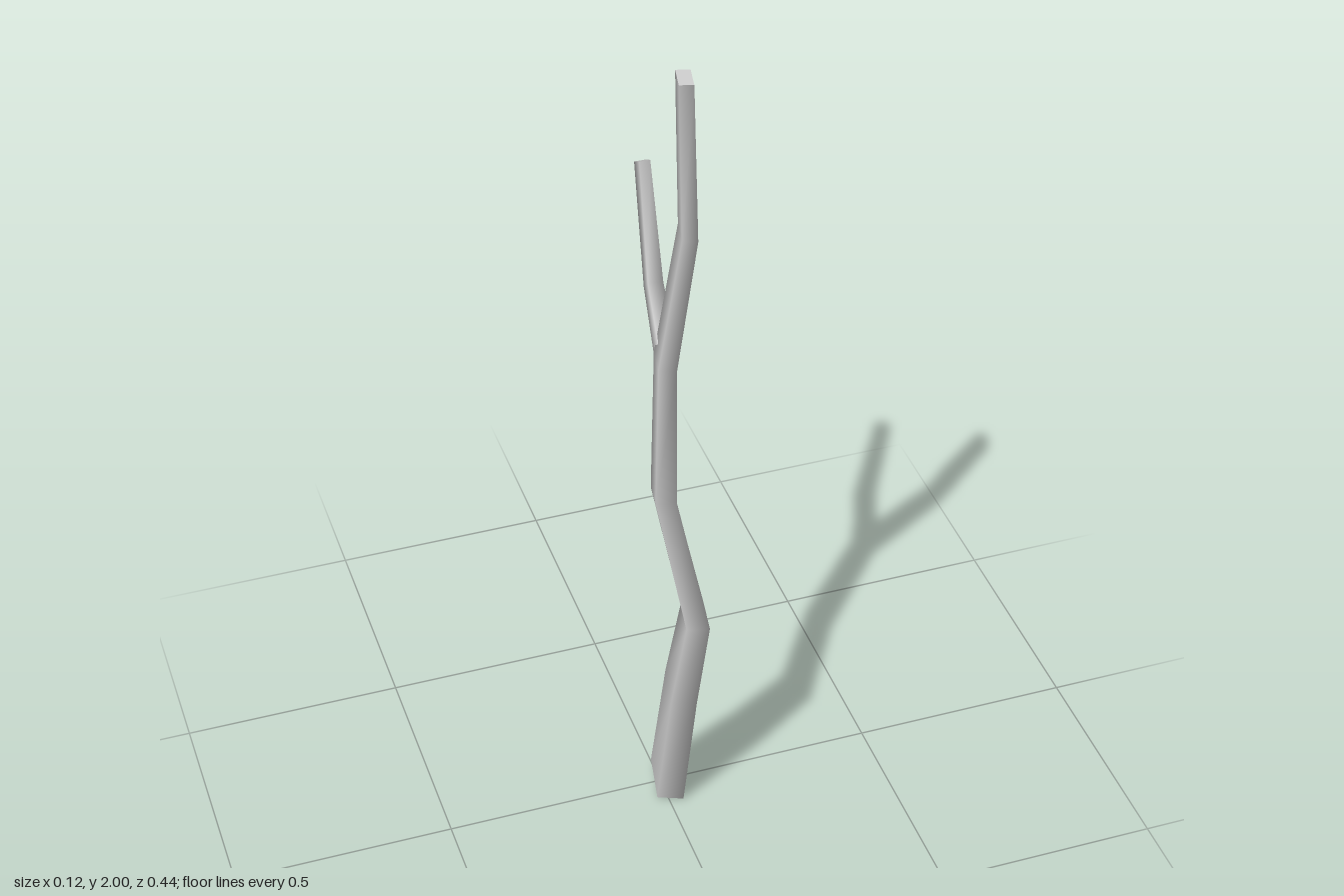
import * as THREE from 'three';

const V = (x, y, z) => new THREE.Vector3(x, y, z);

// Four-sided limb skinned over rings of { c: centre, u: half width, v: half depth }
function limb(name, rings, material) {
  const pos = [], side = [];
  const corners = ({ c, u, v }) => [[1, 1], [1, -1], [-1, -1], [-1, 1]].map(
    ([a, b]) => c.clone().addScaledVector(u, a).addScaledVector(v, b));
  const add = (p) => pos.push(p.x, p.y, p.z);
  rings.forEach((r, i) => {
    corners(r).forEach(add);
    if (i === 0) return;
    const a = (i - 1) * 4, b = i * 4;
    for (let k = 0; k < 4; k++) {
      const n = (k + 1) % 4;
      side.push(a + k, a + n, b + n, a + k, b + n, b + k);
    }
  });
  // end caps with their own corners, so their edges stay sharp
  const s = rings.length * 4;
  corners(rings[0]).reverse().forEach(add);
  corners(rings[rings.length - 1]).forEach(add);
  for (const q of [s, s + 4]) side.push(q, q + 1, q + 2, q, q + 2, q + 3);
  const g = new THREE.BufferGeometry();
  g.setAttribute('position', new THREE.Float32BufferAttribute(pos, 3));
  g.setIndex(side);
  g.computeVertexNormals();
  const mesh = new THREE.Mesh(g, material);
  mesh.name = name;
  return mesh;
}

export function createModel() {
  const group = new THREE.Group();
  group.name = 'forkedBranch';
  const wood = new THREE.MeshStandardMaterial({ color: 0xcccccc });

  // Main stem: x, y, z, half width, half depth
  const stem = [
    [0.012, 0.015, 0.016, 0.030, 0.050],
    [0.010, 0.39, 0.117, 0.028, 0.043],
    [0.028, 0.62, 0.155, 0.025, 0.042],
    [-0.034, 0.95, 0.126, 0.022, 0.035],
    [-0.012, 1.25, 0.070, 0.019, 0.032],
    [0.010, 1.61, 0.143, 0.016, 0.026],
    [-0.016, 1.996, 0.193, 0.0145, 0.023],
  ];
  const rings = stem.map(([x, y, z, w, d], i) => {
    const p = stem[Math.max(i - 1, 0)], n = stem[Math.min(i + 1, stem.length - 1)];
    const sx = (n[0] - p[0]) / (n[1] - p[1]), sz = (n[2] - p[2]) / (n[1] - p[1]);
    // slightly turned section, tilted square to the path
    const tilt = (a, b) => V(a, -a * sx - b * sz, b);
    return { c: V(x, y, z), u: tilt(0.95 * w, 0.31 * w), v: tilt(-0.17 * d, 0.98 * d) };
  });
  group.add(limb('stem', rings, wood));

  // Side branch, bending upward toward the back
  group.add(limb('sideBranch', [
    { c: V(-0.008, 1.262, 0.06), u: V(0.018, 0, 0.003), v: V(0, 0.03, 0.01) },
    { c: V(0.009, 1.347, -0.07), u: V(0.016, 0, 0.002), v: V(-0.002, 0.0175, 0.02) },
    { c: V(0.029, 1.563, -0.203), u: V(0.012, 0, 0), v: V(0, 0.010, 0.017) },
  ], wood));
  return group;
}
